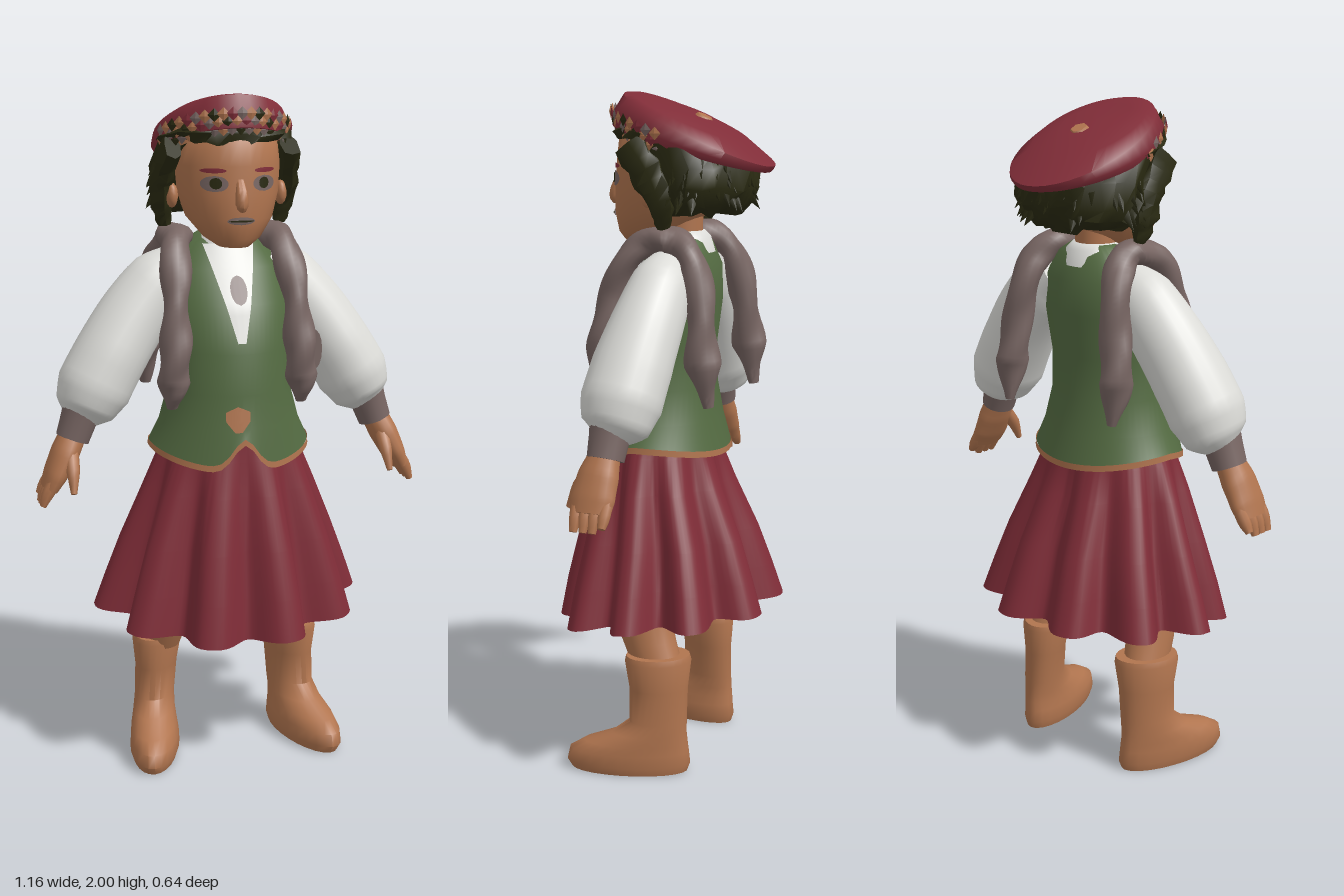
import * as THREE from 'three';
import { toCreasedNormals } from 'three/addons/utils/BufferGeometryUtils.js';

const V = (x, y, z) => new THREE.Vector3(x, y, z);
const mat = (name, color, side = THREE.FrontSide) => {
  const m = new THREE.MeshStandardMaterial({ color, side });
  m.name = name;
  return m;
};

// Skin a list of point rows; closed rows become rings, optionally capped.
function skin(rows, closed = true, caps = true) {
  const n = rows[0].length, pos = [], idx = [];
  rows.forEach(r => r.forEach(p => pos.push(p.x, p.y, p.z)));
  for (let i = 0; i < rows.length - 1; i++)
    for (let j = 0; j < (closed ? n : n - 1); j++) {
      const k = (j + 1) % n, a = i * n + j, b = i * n + k;
      idx.push(a, a + n, b, b, a + n, b + n);
    }
  if (closed && caps) [0, rows.length - 1].forEach((i, top) => {
    const c = rows[i].reduce((s, p) => s.add(p), V(0, 0, 0)).divideScalar(n);
    const ci = pos.length / 3;
    pos.push(c.x, c.y, c.z);
    for (let j = 0; j < n; j++) {
      const a = i * n + j, b = i * n + (j + 1) % n;
      if (top) idx.push(ci, b, a); else idx.push(ci, a, b);
    }
  });
  const g = new THREE.BufferGeometry();
  g.setAttribute('position', new THREE.Float32BufferAttribute(pos, 3));
  g.setIndex(idx);
  return toCreasedNormals(g, 0.9);
}

// Horizontal elliptical rings [x, y, z, rx, rz] from the bottom up.
function loft(rings, { seg = 32, caps = true, mod } = {}) {
  return skin(rings.map(([x, y, z, rx, rz], i) => Array.from({ length: seg }, (_, j) => {
    const a = j / seg * Math.PI * 2;
    const p = V(x + rx * Math.cos(a), y, z + rz * Math.sin(a));
    if (mod) mod(p, a, i, z);
    return p;
  })), true, caps);
}

// Tube through [x, y, z, ra, rb] with its cross-section turned by a reference axis.
function sweep(pts, ref, { steps = 16, seg = 16, scale = () => 1 } = {}) {
  const curve = new THREE.CatmullRomCurve3(pts.map(p => V(p[0], p[1], p[2])));
  const rows = [];
  for (let i = 0; i <= steps; i++) {
    const t = i / steps, f = t * (pts.length - 1), k = Math.min(Math.floor(f), pts.length - 2);
    const mix = c => THREE.MathUtils.lerp(pts[k][c], pts[k + 1][c], f - k);
    const T = curve.getTangent(t), A = T.clone().cross(ref).normalize(), B = A.clone().cross(T);
    const c = curve.getPoint(t), ra = mix(3), rb = mix(4);
    rows.push(Array.from({ length: seg }, (_, j) => {
      const a = j / seg * Math.PI * 2, s = scale(t, a);
      return c.clone().addScaledVector(A, s * ra * Math.cos(a)).addScaledVector(B, s * rb * Math.sin(a));
    }));
  }
  return skin(rows);
}

// Thin patch lying on the front of a loft between two heights.
function patch(rings, y0, y1, cx, half, lift = 0.006) {
  const rows = [];
  for (let i = 0; i <= 14; i++) {
    const t = i / 14, y = y0 + (y1 - y0) * t;
    let k = 0;
    while (k < rings.length - 2 && rings[k + 1][1] < y) k++;
    const a = rings[k], b = rings[k + 1], f = (y - a[1]) / (b[1] - a[1]);
    const [z, rx, rz] = [2, 3, 4].map(c => a[c] + (b[c] - a[c]) * f);
    rows.push(Array.from({ length: 9 }, (_, j) => {
      const x = cx + half(t) * (1 - j / 4);
      return V(x, y, z + lift + rz * Math.sqrt(Math.max(0, 1 - (x / rx) ** 2)));
    }));
  }
  return skin(rows, false);
}
const oval = w => t => w * Math.sqrt(Math.max(0, 1 - (2 * t - 1) ** 2));

export function createModel() {
  const group = new THREE.Group();
  const D = THREE.DoubleSide;
  const skinMat = mat('tan skin and leather', 0xb1754f, D), red = mat('dark red cloth', 0x802d38, D);
  const green = mat('green vest cloth', 0x546b42), white = mat('white linen', 0xdcdcd8, D);
  const grey = mat('grey brown braid', 0x786663, D), dark = mat('dark hair', 0x2a2a12, D);
  const add = (name, geo, m) => {
    const mesh = new THREE.Mesh(geo, m);
    mesh.name = name;
    group.add(mesh);
    return mesh;
  };
  let seed = 7;
  const rnd = () => (seed = (seed * 16807) % 2147483647) / 2147483647;

  // Skirt with ten broad folds that deepen toward the hem
  add('skirt', loft([[0, 0.48, 0, 0.372, 0.3], [0, 0.58, 0.005, 0.341, 0.276], [0, 0.7, 0.01, 0.303, 0.244],
    [0, 0.85, 0.025, 0.25, 0.198], [0, 0.95, 0.03, 0.216, 0.17], [0, 1.02, 0.03, 0.19, 0.16]], {
    seg: 160, caps: false,
    mod: (p, a, i, cz) => {
      const k = 1 + [0.11, 0.105, 0.09, 0.065, 0.03, 0][i] * (1 - 2.3 * Math.abs(Math.sin(5 * a)) ** 3);
      p.x *= k;
      p.z = cz + (p.z - cz) * k;
      p.y -= [0.052, 0.03, 0.01, 0, 0, 0][i] * Math.sin(a) * (Math.sin(a) > 0 ? 1.1 : 0.1);
    },
  }), red);

  // Vest, with a notched front hem and trim
  const torso = [[0, 0.96, 0.025, 0.24, 0.195], [0, 1.05, 0.03, 0.21, 0.18], [0, 1.15, 0.032, 0.183, 0.165],
    [0, 1.27, 0.03, 0.182, 0.16], [0, 1.4, 0, 0.19, 0.145], [0, 1.5, -0.03, 0.17, 0.112],
    [0, 1.57, -0.04, 0.12, 0.075], [0, 1.6, -0.04, 0.07, 0.055]];
  const hem = a => {
    const f = Math.max(0, Math.sin(a)), c = Math.cos(a) ** 2;
    return 0.03 * c - 0.022 * f + (f > 0 ? 0.085 * Math.exp(-c / 0.04) : 0);
  };
  add('vest', loft(torso, { seg: 64, mod: (p, a, i) => { if (i === 0) p.y += hem(a); } }), green);
  add('vestTrim', loft([[0, 0.945, 0.025, 0.243, 0.198], [0, 0.963, 0.025, 0.242, 0.197]],
    { seg: 64, caps: false, mod: (p, a) => { p.y += hem(a); } }), skinMat);
  add('vestClasp', patch(torso, 1.045, 1.12, -0.018, t => 0.036 * Math.min(1, t * 1.6 + 0.3, (1 - t) * 5)), skinMat);
  add('blouseFront', patch(torso, 1.3, 1.57, 0, t => 0.012 + 0.065 * t), white);
  add('brooch', patch(torso, 1.405, 1.485, 0.005, oval(0.025), 0.011), grey);
  add('collar', loft([[0, 1.54, -0.037, 0.1, 0.092], [0, 1.585, -0.037, 0.085, 0.078], [0, 1.602, -0.035, 0.066, 0.064]]), white);
  add('neck', loft([[0, 1.52, -0.03, 0.06, 0.06], [0, 1.68, -0.02, 0.062, 0.075]]), skinMat);

  // Head and face; the crown stays below the slope of the cap
  const underCap = p => { p.y = Math.min(p.y, 1.856 + (p.z + 0.06) * 0.32); };
  const head = [[0, 1.57, 0.085, 0.045, 0.06], [0, 1.595, 0.065, 0.082, 0.097], [0, 1.65, 0.033, 0.125, 0.137],
    [0, 1.72, 0.01, 0.148, 0.158], [0, 1.8, 0, 0.156, 0.162], [0, 1.87, -0.01, 0.15, 0.165], [0, 1.92, -0.02, 0.12, 0.14]];
  add('head', loft(head, { mod: underCap }), skinMat);
  add('nose', sweep([[0, 1.76, 0.155, 0.012, 0.012], [0, 1.72, 0.175, 0.02, 0.018], [0, 1.69, 0.175, 0.024, 0.018],
    [0, 1.68, 0.165, 0.006, 0.006]], V(1, 0, 0), { steps: 8, seg: 10 }), skinMat);
  add('mouth', patch(head, 1.638, 1.66, 0, oval(0.04), 0.005), grey);
  add('mouthLine', patch(head, 1.646, 1.652, 0, oval(0.036), 0.008), dark);
  for (const s of [1, -1]) {
    add('eye', patch(head, 1.73, 1.775, s * 0.072, oval(0.036), 0.004), grey);
    add('pupil', patch(head, 1.738, 1.77, s * 0.07, oval(0.016), 0.007), dark);
    add('eyebrow', patch(head, 1.782, 1.796, s * 0.075, oval(0.034), 0.004), red);
    const ear = add('ear', new THREE.SphereGeometry(0.03, 12, 8), skinMat);
    ear.position.set(s * 0.163, 1.71, 0.01);
    ear.scale.set(0.6, 1.2, 0.8);
    add('sideLock', sweep([[s * 0.172, 1.85, 0.065, 0.05, 0.027], [s * 0.188, 1.77, 0, 0.05, 0.028],
      [s * 0.185, 1.68, -0.035, 0.042, 0.032], [s * 0.172, 1.62, -0.04, 0.018, 0.018]], V(1, 0, 0),
    { steps: 10, seg: 7, scale: () => 0.8 + 0.4 * rnd() }), dark);
  }

  // Rough hair with scattered tufts
  const rough = p => {
    p.x += (rnd() - 0.5) * 0.025;
    p.y += (rnd() - 0.5) * 0.02;
    p.z += (rnd() - 0.5) * 0.025;
    underCap(p);
  };
  add('hair', loft([[0, 1.655, -0.09, 0.15, 0.1], [0, 1.685, -0.1, 0.197, 0.137], [0, 1.73, -0.1, 0.207, 0.15],
    [0, 1.79, -0.09, 0.206, 0.16], [0, 1.86, -0.065, 0.19, 0.18]], { seg: 28, mod: rough }), dark);
  add('fringe', loft([[0, 1.865, -0.015, 0.185, 0.172], [0, 1.89, -0.015, 0.193, 0.178], [0, 1.91, -0.02, 0.185, 0.175]],
    { seg: 30, mod: rough }), dark);
  for (let i = 0; i < 46; i++) {
    const a = Math.PI * (0.92 + 1.16 * rnd()), y = 1.685 + 0.12 * rnd();
    const tuft = add('hairTuft', new THREE.ConeGeometry(0.022, 0.07, 4), dark);
    tuft.position.set(Math.cos(a) * 0.195, y, -0.09 + Math.sin(a) * 0.145);
    tuft.quaternion.setFromUnitVectors(V(0, 1, 0), V(Math.cos(a) * 0.6, -0.8, Math.sin(a) * 0.6).normalize());
  }

  // Tilted cap, domed toward the front, with a patterned band
  const tilt = [0.29, 0.34, 0.47, 0.42, 0.35];
  add('cap', loft([[0, 1.84, -0.06, 0.19, 0.235], [0, 1.862, -0.065, 0.2, 0.238], [0, 1.893, -0.085, 0.19, 0.222],
    [0, 1.926, -0.06, 0.155, 0.17], [0, 1.949, -0.03, 0.095, 0.1]],
  { seg: 40, mod: (p, a, i, cz) => { p.y += (p.z - cz) * tilt[i]; } }), red);
  const button = add('capButton', new THREE.CylinderGeometry(0.024, 0.03, 0.009, 6), skinMat);
  button.position.set(0, 1.926, -0.1);
  button.rotation.x = -0.45;
  const bandColours = [skinMat, grey, red, skinMat, dark];
  for (let row = 0; row < 3; row++) for (let i = 0; i < 22; i++) {
    const a = Math.PI * (0.05 + 0.9 * (i + (row % 2) / 2) / 22), r = [1.01, 0.985, 0.95][row];
    const bead = add('bandPattern', new THREE.OctahedronGeometry(0.019),
      row === 2 ? [grey, skinMat, grey, dark][i % 4] : bandColours[(i + row * 2) % 5]);
    bead.position.set(0.2 * r * Math.cos(a), 1.872 - row * 0.021 + 0.076 * Math.sin(a), -0.062 + 0.238 * r * Math.sin(a));
    bead.rotation.y = Math.PI / 2 - a;
    bead.scale.z = 0.24;
  }

  for (const s of [1, -1]) {
    const side = pts => pts.map(([x, ...r]) => [s * x, ...r]);
    const X = V(1, 0, 0), Z = V(0, 0, 1);

    // Twisted braid falling over the shoulder to chest and back
    add('braid', sweep(side([[0.195, 1.11, 0.13, 0.014, 0.016], [0.192, 1.19, 0.138, 0.05, 0.046], [0.185, 1.3, 0.14, 0.044, 0.044],
      [0.178, 1.43, 0.115, 0.038, 0.038], [0.162, 1.56, 0.045, 0.038, 0.046], [0.145, 1.585, -0.05, 0.04, 0.05],
      [0.168, 1.53, -0.125, 0.04, 0.044], [0.192, 1.38, -0.16, 0.042, 0.046], [0.208, 1.24, -0.173, 0.048, 0.048],
      [0.205, 1.12, -0.19, 0.014, 0.016]]), X,
    { steps: 90, seg: 14, scale: (t, a) => 1 + 0.1 * Math.sin(2 * a + t * 44) + 0.04 * Math.sin(t * 37) }), grey);

    // Puffed sleeve, cuff and hand
    add('sleeve', sweep(side([[0.12, 1.5, -0.045, 0.07, 0.07], [0.19, 1.45, -0.04, 0.1, 0.09], [0.27, 1.36, -0.03, 0.105, 0.103],
      [0.345, 1.25, -0.014, 0.108, 0.115], [0.4, 1.155, -0.003, 0.11, 0.117], [0.43, 1.095, 0.003, 0.088, 0.098],
      [0.448, 1.06, 0.01, 0.045, 0.045]]), Z, { steps: 24, seg: 24 }), white);
    add('cuff', sweep(side([[0.437, 1.1, 0.01, 0.059, 0.062], [0.47, 1.01, 0.015, 0.05, 0.053]]), Z, { steps: 2 }), grey);
    add('hand', sweep(side([[0.465, 1.03, 0.015, 0.04, 0.042], [0.495, 0.97, 0.025, 0.042, 0.06],
      [0.525, 0.91, 0.03, 0.035, 0.066], [0.545, 0.87, 0.03, 0.026, 0.06]]), Z), skinMat);
    for (let f = 0; f < 4; f++) {
      const z = -0.014 + f * 0.028;
      add('finger', sweep(side([[0.525, 0.91, z, 0.02, 0.019], [0.553, 0.865, z, 0.02, 0.018],
        [0.57, 0.825 + (f === 0 ? 0.015 : 0), z, 0.01, 0.012]]), Z, { steps: 5, seg: 8 }), skinMat);
    }
    add('thumb', sweep(side([[0.48, 0.98, 0.05, 0.022, 0.022], [0.482, 0.93, 0.09, 0.021, 0.02],
      [0.486, 0.87, 0.12, 0.009, 0.009]]), X, { steps: 6, seg: 8 }), skinMat);

    // Leg and boot, toes turned outward
    add('leg', loft(side([[0.205, 0.33, -0.03, 0.062, 0.078], [0.193, 0.4, 0.0, 0.067, 0.083],
      [0.18, 0.48, 0.025, 0.074, 0.083], [0.15, 0.65, 0.03, 0.085, 0.095]]), { seg: 20 }), skinMat);
    const turn = p => { p.x += s * 0.22 * p.z; };
    add('boot', loft(side([[0.23, 0, 0.045, 0.07, 0.17], [0.23, 0.025, 0.048, 0.078, 0.182], [0.23, 0.062, 0.046, 0.076, 0.176],
      [0.232, 0.09, 0.025, 0.072, 0.152], [0.232, 0.12, -0.015, 0.066, 0.108], [0.23, 0.16, -0.04, 0.063, 0.082],
      [0.224, 0.26, -0.04, 0.066, 0.083], [0.22, 0.345, -0.037, 0.078, 0.094], [0.218, 0.362, -0.036, 0.074, 0.09]]),
    { seg: 24, mod: turn }), skinMat);
  }

  // Small mend on the left sleeve
  const mend = add('sleevePatch', new THREE.CircleGeometry(0.04, 14), grey);
  mend.position.set(0.25, 1.25, 0.085);
  mend.scale.set(0.6, 1.5, 1);
  return group;
}
